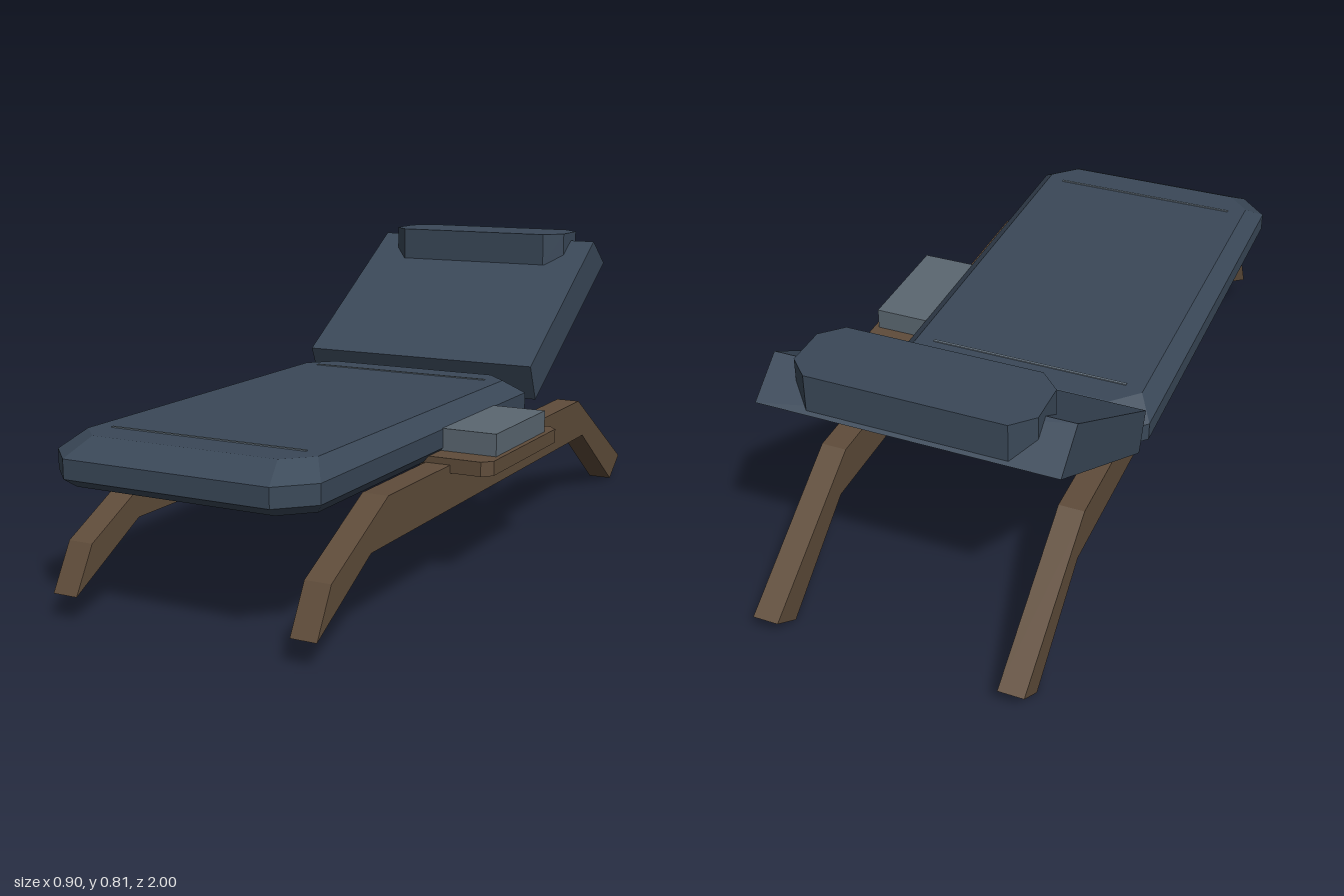
import * as THREE from 'three';

const flat = (name, color) => {
  const m = new THREE.MeshStandardMaterial({ color });
  m.name = name;
  return m;
};

// Stack of rectangles with cut corners; each level is [y, x0, x1, z0, z1, corner]
function cutCornerLoft(levels) {
  const rings = levels.map(([y, x0, x1, z0, z1, c]) => [
    [x1, y, z1 - c], [x1, y, z0 + c], [x1 - c, y, z0], [x0 + c, y, z0],
    [x0, y, z0 + c], [x0, y, z1 - c], [x0 + c, y, z1], [x1 - c, y, z1],
  ]);
  const pos = [];
  const tri = (a, b, c) => pos.push(...a, ...b, ...c);
  for (let r = 0; r < rings.length - 1; r++) {
    const lo = rings[r], hi = rings[r + 1];
    for (let i = 0; i < 8; i++) {
      const j = (i + 1) % 8;
      tri(lo[i], lo[j], hi[j]);
      tri(lo[i], hi[j], hi[i]);
    }
  }
  const bottom = rings[0], top = rings[rings.length - 1];
  for (let i = 1; i < 7; i++) {
    tri(top[0], top[i], top[i + 1]);
    tri(bottom[0], bottom[i + 1], bottom[i]);
  }
  const g = new THREE.BufferGeometry();
  g.setAttribute('position', new THREE.Float32BufferAttribute(pos, 3));
  g.computeVertexNormals();
  return g;
}

// Side outline in (z, y), extruded across x0..x1
function sideProfile(points, x0, x1) {
  const shape = new THREE.Shape(points.map(([z, y]) => new THREE.Vector2(z, y)));
  const g = new THREE.ExtrudeGeometry(shape, { depth: x1 - x0, bevelEnabled: false });
  g.rotateY(-Math.PI / 2);
  g.translate(x1, 0, 0);
  return g;
}

export function createModel() {
  const group = new THREE.Group();
  group.name = 'sunLounger';
  const fabric = flat('navy fabric', 0x3a4858);
  const wood = flat('brown wood', 0x5f4c3a);
  const slate = flat('slate grey', 0x5b6771);
  const thread = flat('pale seam', 0x6c7a87);

  const add = (name, geometry, material) => {
    const mesh = new THREE.Mesh(geometry, material);
    mesh.name = name;
    group.add(mesh);
    return mesh;
  };

  // Bent side rails that form the legs
  const rail = [
    [1, 0.065], [0.935, 0.18], [0.665, 0.316], [-0.6, 0.316],
    [-1, 0.06], [-0.918, 0], [-0.643, 0.2], [0.75, 0.2],
  ];
  add('rightRail', sideProfile(rail, -0.387, -0.318), wood);
  add('leftRail', sideProfile(rail, 0.272, 0.341), wood);

  // Bevelled seat cushion
  add('seatCushion', cutCornerLoft([
    [0.315, -0.431, 0.265, -0.343, 0.93, 0.07],
    [0.34, -0.453, 0.287, -0.38, 0.967, 0.083],
    [0.39, -0.453, 0.287, -0.38, 0.967, 0.083],
    [0.433, -0.41, 0.243, -0.298, 0.886, 0.066],
  ]), fabric);

  // Stitched seams near both ends of the seat
  for (const [name, z] of [['frontSeam', 0.788], ['backSeam', -0.213]]) {
    const seam = add(name, new THREE.BoxGeometry(0.555, 0.004, 0.007), thread);
    seam.position.set(-0.083, 0.434, z);
  }

  // Reclined backrest
  add('backrest', sideProfile(
    [[-0.336, 0.46], [-0.379, 0.355], [-0.953, 0.707], [-0.852, 0.784]], -0.453, 0.287), fabric);

  // Headrest pillow
  add('headrest', cutCornerLoft([
    [0.714, -0.379, 0.21, -0.945, -0.737, 0.05],
    [0.81, -0.379, 0.21, -0.945, -0.737, 0.05],
  ]), fabric);

  // Side tray with a block resting on it
  add('sideTray', cutCornerLoft([
    [0.295, 0.242, 0.451, -0.145, 0.328, 0.025],
    [0.333, 0.242, 0.451, -0.145, 0.328, 0.025],
  ]), wood);
  const block = add('trayBlock', new THREE.BoxGeometry(0.181, 0.059, 0.332), slate);
  block.position.set(0.3465, 0.3625, 0.091);

  return group;
}
